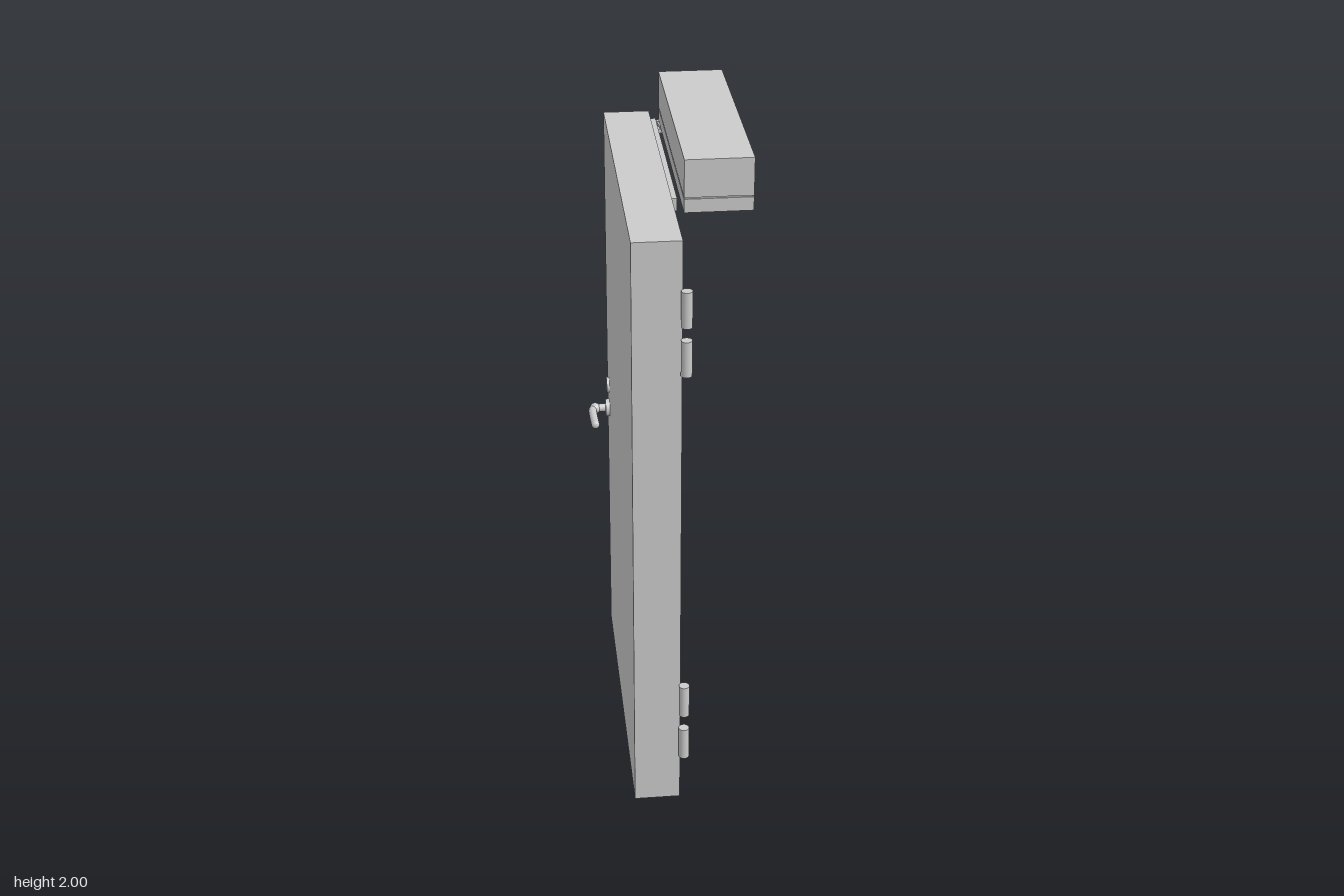
import * as THREE from 'three';

const material = new THREE.MeshStandardMaterial({ color: 0xcccccc });

export function createModel() {
  const model = new THREE.Group();
  model.name = 'doorWithCloser';

  const add = (name, geometry, x = 0, y = 0, z = 0, parent = model) => {
    const mesh = new THREE.Mesh(geometry, material);
    mesh.name = name;
    mesh.position.set(x, y, z);
    parent.add(mesh);
    return mesh;
  };
  // Box given by its limits on each axis
  const box = (name, [x0, x1], [y0, y1], [z0, z1]) =>
    add(name, new THREE.BoxGeometry(x1 - x0, y1 - y0, z1 - z0),
      (x0 + x1) / 2, (y0 + y1) / 2, (z0 + z1) / 2);

  // Door leaf
  const faceL = -0.122, faceR = 0.01;
  box('doorLeaf', [faceL, faceR], [0, 1.785], [-0.48, 0.455]);

  // Hinge knuckles, in two pairs
  for (const y of [0.21, 0.36, 1.46, 1.6])
    add('hinge', new THREE.CylinderGeometry(0.015, 0.015, 0.102, 24), 0.02, y, 0.465);

  // Closer housing: base and cover with a narrow groove between
  box('closerBase', [0.012, 0.187], [1.86, 1.896], [-0.2, 0.455]);
  box('closerGroove', [0.015, 0.184], [1.894, 1.902], [-0.197, 0.452]);
  box('closerCover', [0.012, 0.187], [1.9, 2], [-0.2, 0.455]);

  // Spindle under the housing
  add('spindle', new THREE.CylinderGeometry(0.017, 0.017, 0.03, 24), 0.097, 1.847, 0.15);
  add('spindleCap', new THREE.CylinderGeometry(0.013, 0.017, 0.012, 24), 0.097, 1.826, 0.15);

  // Arm from the spindle down to the slide rail
  const start = new THREE.Vector3(0.097, 1.821, 0.15);
  const end = new THREE.Vector3(0.035, 1.776, -0.41);
  const arm = add('closerArm', new THREE.BoxGeometry(0.021, 0.007, start.distanceTo(end)));
  arm.position.copy(start).lerp(end, 0.5);
  arm.lookAt(end);

  // Slide rail with its sliding block and pivot
  box('slideRail', [faceR, 0.025], [1.745, 1.78], [-0.43, 0.172]);
  box('slider', [0.02, 0.058], [1.756, 1.769], [-0.413, -0.372]);
  add('armPivot', new THREE.CylinderGeometry(0.011, 0.011, 0.026, 20), 0.036, 1.769, -0.405);

  // Lever handle and lock cylinder on each face
  const handleZ = -0.405, handleY = 0.845;
  for (const [face, side] of [[faceL, -1], [faceR, 1]]) {
    const handle = new THREE.Group();
    handle.name = side > 0 ? 'leftHandle' : 'rightHandle';
    handle.position.set(face, handleY, handleZ);
    model.add(handle);

    const disc = (name, r, depth, y = 0) => {
      const g = new THREE.CylinderGeometry(r, r, depth, 32).rotateZ(Math.PI / 2);
      add(name, g, side * depth / 2, y, 0, handle);
    };
    disc('rose', 0.027, 0.013);
    disc('lockCylinder', 0.024, 0.009, 0.08);

    // Neck leaves the rose and bends into the grip
    const path = new THREE.CatmullRomCurve3([
      [0, 0, 0], [0.03, 0, 0], [0.046, 0, 0.002], [0.053, 0, 0.012],
      [0.054, 0, 0.035], [0.053, 0, 0.07], [0.051, 0, 0.107],
    ].map(([x, y, z]) => new THREE.Vector3(side * x, y, z)));
    add('lever', new THREE.TubeGeometry(path, 40, 0.0125, 16), 0, 0, 0, handle);
    const tip = new THREE.SphereGeometry(0.0125, 16, 12).scale(1, 1, 0.7);
    add('leverTip', tip, side * 0.051, 0, 0.107, handle);
    add('leverElbow', new THREE.SphereGeometry(0.017, 20, 14), side * 0.045, 0, 0.001, handle);
  }
  return model;
}
